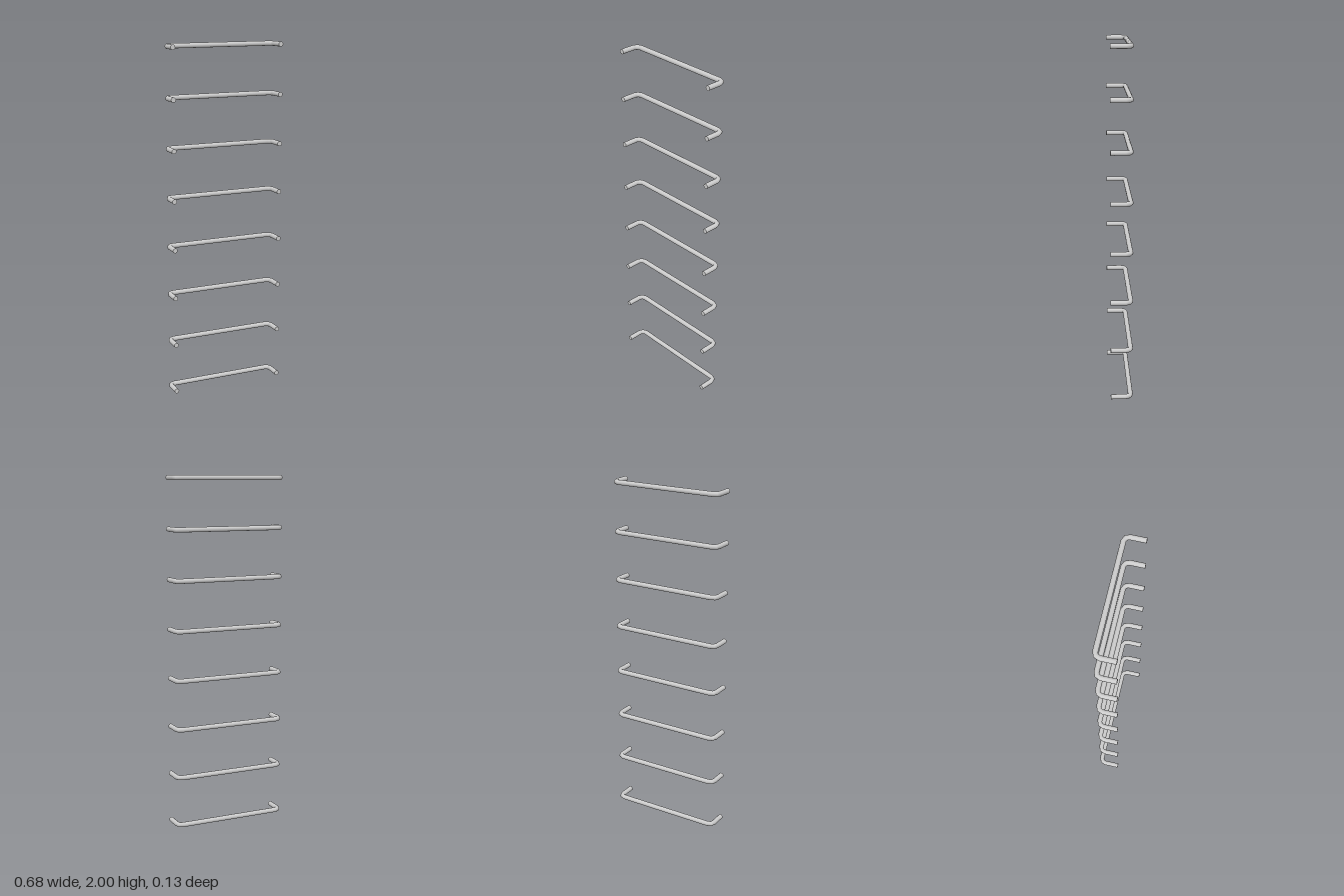
import * as THREE from 'three';

const RADIUS = 0.014, BEND = 0.028, COUNT = 8;
const LEG_X = 0.326, FRONT_Z = 0.063, BACK_Z = -0.05;

// Path stations from the left foot round to the right foot: [x, z, heading in degrees]
function pathStations() {
  const cx = LEG_X - BEND, cz = BACK_Z + BEND;
  const half = [[LEG_X, FRONT_Z, 0]];
  for (const deg of [0, 45, 90]) {
    const a = THREE.MathUtils.degToRad(deg);
    half.push([cx + BEND * Math.cos(a), cz - BEND * Math.sin(a), deg]);
  }
  const mirrored = half.map(([x, z, deg]) => [-x, z, 180 - deg]).reverse();
  return [...half, ...mirrored];
}

// Bend a capped cylinder along the stations, one ring of vertices per station
function rungGeometry() {
  const stations = pathStations();
  const segments = stations.length - 1;
  const geometry = new THREE.CylinderGeometry(RADIUS, RADIUS, 1, 16, segments);
  const { position, normal } = geometry.attributes;
  for (let i = 0; i < position.count; i++) {
    const [x, z, deg] = stations[Math.round((position.getY(i) + 0.5) * segments)];
    const a = THREE.MathUtils.degToRad(deg);
    const frame = new THREE.Matrix4().makeBasis(
      new THREE.Vector3(Math.cos(a), 0, -Math.sin(a)),
      new THREE.Vector3(-Math.sin(a), 0, -Math.cos(a)),
      new THREE.Vector3(0, 1, 0)
    );
    const p = new THREE.Vector3(position.getX(i), 0, position.getZ(i)).applyMatrix4(frame);
    const n = new THREE.Vector3().fromBufferAttribute(normal, i).applyMatrix4(frame);
    position.setXYZ(i, x + p.x, p.y, z + p.z);
    normal.setXYZ(i, n.x, n.y, n.z);
  }
  return geometry;
}

export function createModel() {
  const group = new THREE.Group();
  group.name = 'rungLadder';
  const material = new THREE.MeshStandardMaterial({ color: 0xcccccc });
  const geometry = rungGeometry();

  // Evenly spaced U-shaped rungs
  for (let i = 0; i < COUNT; i++) {
    const rung = new THREE.Mesh(geometry, material);
    rung.name = `rung${i + 1}`;
    rung.position.y = RADIUS + (i * (2 - 2 * RADIUS)) / (COUNT - 1);
    group.add(rung);
  }
  return group;
}
